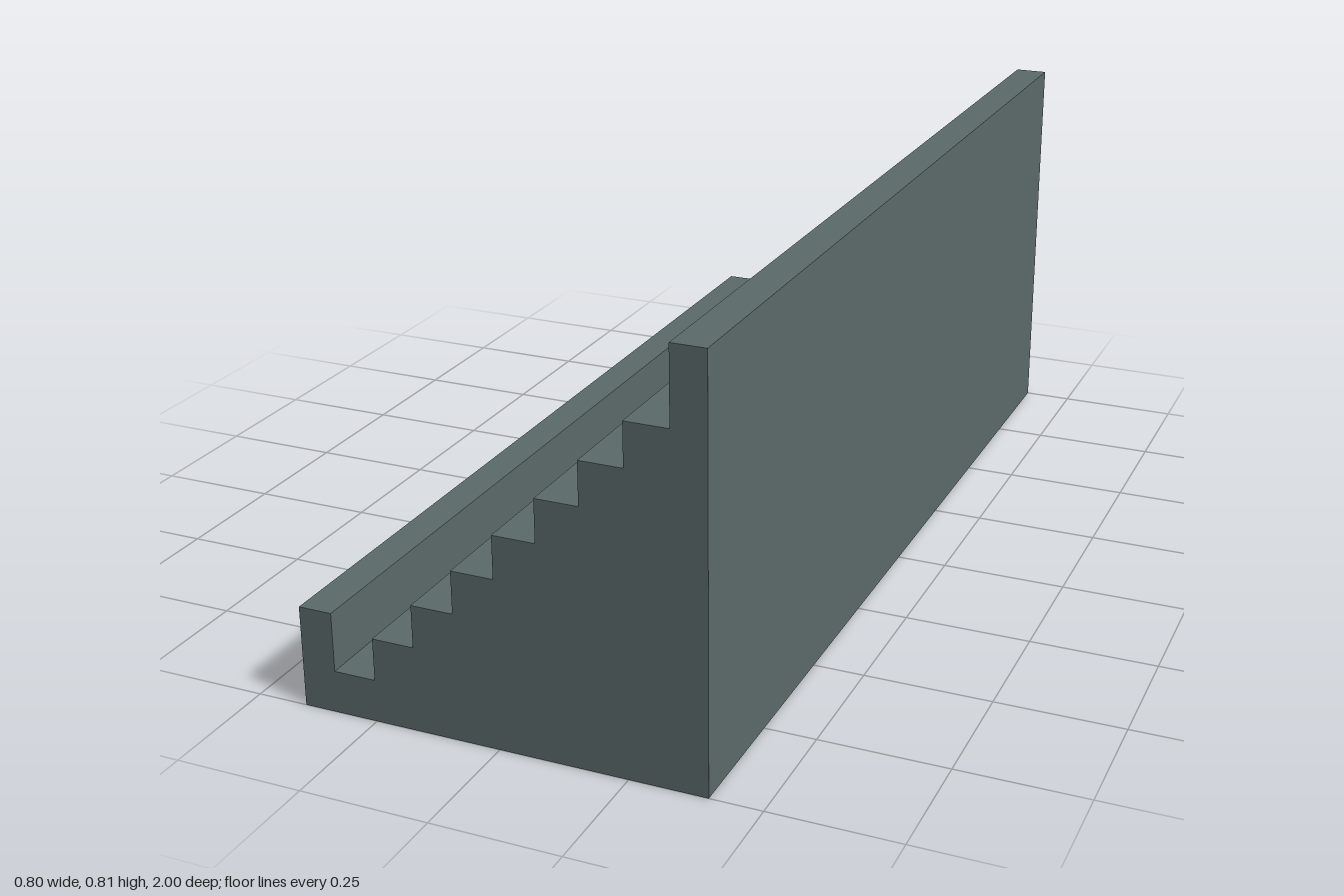
import * as THREE from 'three';

const LENGTH = 2;
const HALF_WIDTH = 0.4;
const STEPS = 8;
const STEP = 1 / 12; // tread depth and riser height
const FRONT_WALL = 0.2;
const BACK_WALL = 0.8133;

export function createModel() {
  const stone = new THREE.MeshStandardMaterial({ color: 0x5c6a6a });
  stone.name = 'grey stone';

  // Cross-section: low wall, eight rising tiers, high wall
  const start = -STEPS * STEP / 2;
  const profile = new THREE.Shape();
  profile.moveTo(-HALF_WIDTH, 0);
  profile.lineTo(HALF_WIDTH, 0);
  profile.lineTo(HALF_WIDTH, BACK_WALL);
  profile.lineTo(-start, BACK_WALL);
  for (let i = STEPS; i > 0; i--) {
    profile.lineTo(start + i * STEP, i * STEP);
    profile.lineTo(start + (i - 1) * STEP, i * STEP);
  }
  profile.lineTo(start, FRONT_WALL);
  profile.lineTo(-HALF_WIDTH, FRONT_WALL);
  profile.closePath();

  // One solid block running the full length
  const geometry = new THREE.ExtrudeGeometry(profile, { depth: LENGTH, bevelEnabled: false });
  geometry.translate(0, 0, -LENGTH / 2);
  const stand = new THREE.Mesh(geometry, stone);
  stand.name = 'steppedStand';

  const group = new THREE.Group();
  group.name = 'grandstand';
  group.add(stand);
  return group;
}
